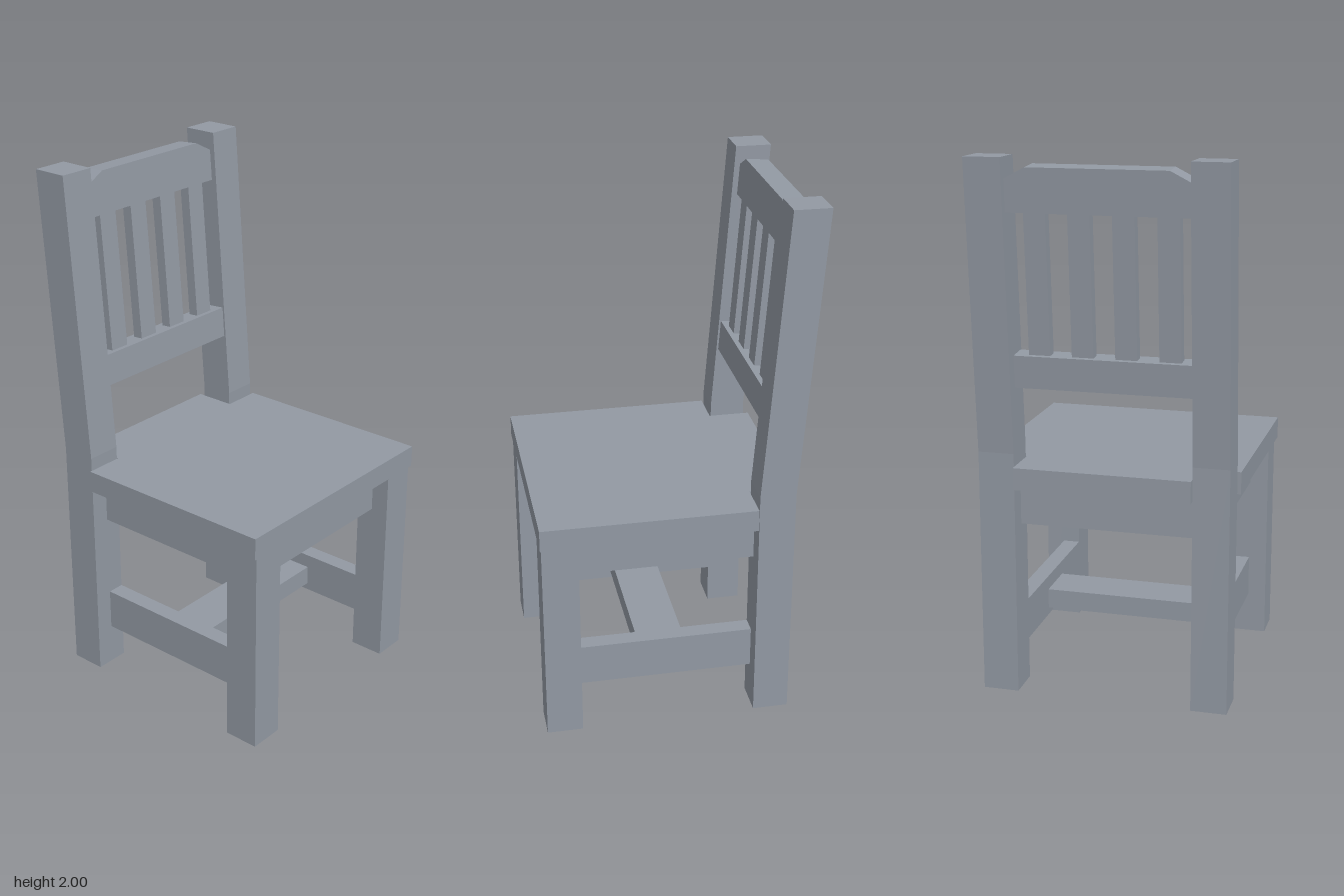
import * as THREE from 'three';

const material = new THREE.MeshStandardMaterial({ color: 0x9299a3, flatShading: true });

export function createModel() {
  const chair = new THREE.Group();
  chair.name = 'chair';

  function add(name, geometry, parent = chair) {
    const mesh = new THREE.Mesh(geometry, material);
    mesh.name = name;
    parent.add(mesh);
    return mesh;
  }

  // Box given by its limits on each axis
  function box(name, [x0, x1], [y0, y1], [z0, z1], parent) {
    const mesh = add(name, new THREE.BoxGeometry(x1 - x0, y1 - y0, z1 - z0), parent);
    mesh.position.set((x0 + x1) / 2, (y0 + y1) / 2, (z0 + z1) / 2);
  }

  // Flat outline extruded along z, starting at z = 0
  function extrude(points, depth) {
    const shape = new THREE.Shape(points.map(([x, y]) => new THREE.Vector2(x, y)));
    return new THREE.ExtrudeGeometry(shape, { depth, bevelEnabled: false });
  }

  // Seat board with a tongue reaching back between the posts
  const seat = add('seat', extrude([
    [-0.45, -0.33], [-0.29, -0.33], [-0.29, -0.48], [0.51, -0.48],
    [0.51, 0.48], [-0.29, 0.48], [-0.29, 0.33], [-0.45, 0.33],
  ], 0.083));
  seat.rotation.x = -Math.PI / 2;
  seat.position.y = 0.8;

  // Solid block under the seat, set in from the leg faces
  box('seatBase', [-0.36, 0.435], [0.643, 0.8], [-0.397, 0.397]);

  // Legs and side stretchers, mirrored across z
  const postOutline = [
    [-0.43, 0], [-0.295, 0], [-0.295, 0.93], [-0.375, 2], [-0.51, 2], [-0.43, 0.93],
  ];
  for (const s of [1, -1]) {
    const span = (a, b) => (s > 0 ? [a, b] : [-b, -a]);
    const legSpan = span(0.332, 0.467);
    const post = add('backPost', extrude(postOutline, 0.135));
    post.position.z = legSpan[0];
    box('frontLeg', [0.37, 0.505], [0, 0.8], legSpan);
    box('sideStretcher', [-0.295, 0.37], [0.16, 0.32], span(0.332, 0.397));
  }

  // Cross stretcher joining the side stretchers
  const inner = [-0.332, 0.332];
  box('crossStretcher', [-0.05, 0.13], [0.188, 0.265], inner);

  // Leaning backrest, built upright and tilted with the posts
  const backrest = new THREE.Group();
  backrest.name = 'backrest';
  backrest.position.set(-0.3625, 0.93, 0);
  backrest.rotation.z = Math.atan2(0.08, 1.07);
  chair.add(backrest);

  box('lowerRail', [-0.02, 0.06], [0.243, 0.363], inner, backrest);
  for (const z of [-0.24, -0.08, 0.08, 0.24]) {
    box('slat', [0, 0.04], [0.363, 0.883], [z - 0.04, z + 0.04], backrest);
  }

  // Top rail with clipped upper corners
  const topRail = add('topRail', extrude([
    [-0.332, 0.883], [0.332, 0.883], [0.332, 1.001],
    [0.255, 1.041], [-0.255, 1.041], [-0.332, 1.001],
  ], 0.086), backrest);
  topRail.rotation.y = Math.PI / 2;
  topRail.position.x = -0.04;

  return chair;
}
